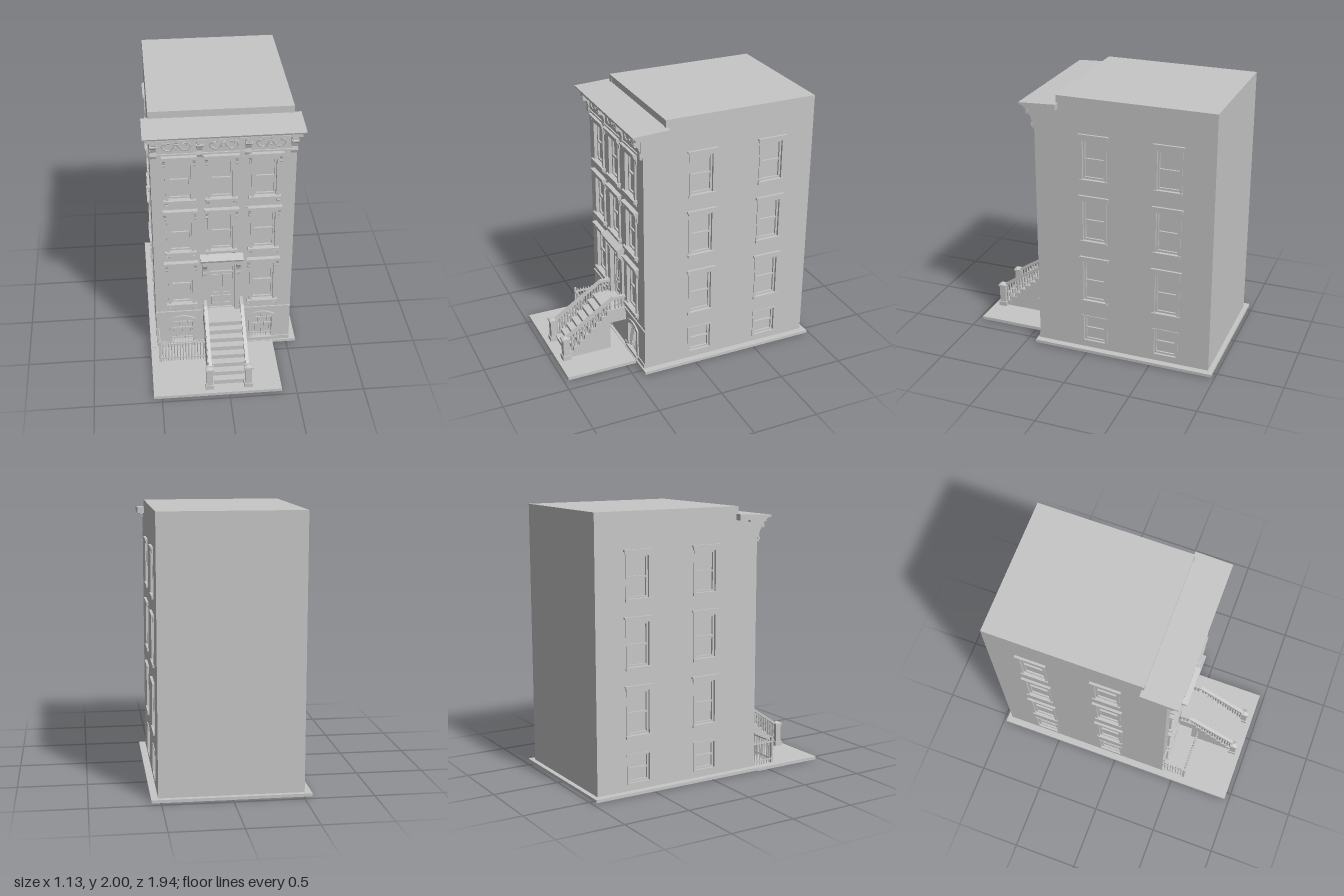
import * as THREE from 'three';

const stone = new THREE.MeshStandardMaterial({ color: 0xc6c6c6 });
stone.name = 'paleGreyStone';

function add(parent, name, geo, x = 0, y = 0, z = 0) {
  const m = new THREE.Mesh(geo, stone);
  m.name = name;
  m.position.set(x, y, z);
  parent.add(m);
  return m;
}
// box given by its limits
function box(parent, name, x0, x1, y0, y1, z0, z1) {
  return add(parent, name, new THREE.BoxGeometry(x1 - x0, y1 - y0, z1 - z0), (x0 + x1) / 2, (y0 + y1) / 2, (z0 + z1) / 2);
}
function group(parent, name, x = 0, y = 0, z = 0, turn = 0) {
  const g = new THREE.Group();
  g.name = name;
  g.position.set(x, y, z);
  g.rotation.y = turn;
  parent.add(g);
  return g;
}
const poly = pts => new THREE.Shape(pts.map(p => new THREE.Vector2(p[0], p[1])));
const rect = (x0, x1, y0, y1) => [[x0, y0], [x1, y0], [x1, y1], [x0, y1]];
function extrude(pts, depth, holes = []) {
  const s = poly(pts);
  holes.forEach(h => s.holes.push(poly(h)));
  return new THREE.ExtrudeGeometry(s, { depth, bevelEnabled: false });
}
// (z, y) profile swept across x, from x0 to x1
function sweep(parent, name, pts, x0, x1, holes) {
  return add(parent, name, extrude(pts, x1 - x0, holes).rotateY(-Math.PI / 2), x1);
}
// opening with a segmental head
function archPts(hw, y0, y1, rise) {
  const p = [[-hw, y0], [hw, y0]];
  for (let i = 0; i <= 8; i++) {
    const t = 1 - i / 4;
    p.push([hw * t, y1 - rise * t * t]);
  }
  return p;
}
const shift = (pts, dx) => pts.map(p => [p[0] + dx, p[1]]);
// scroll bracket against a wall at z = 0, top at y1
function bracket(parent, x, w, y0, y1, d) {
  const h = y1 - y0;
  return sweep(parent, 'bracket', [[0, y1], [0, y0], [d * 0.3, y0], [d * 0.42, y0 + h * 0.15], [d * 0.32, y0 + h * 0.35],
    [d * 0.5, y0 + h * 0.6], [d * 0.85, y0 + h * 0.72], [d, y0 + h * 0.85], [d, y1]], x - w / 2, x + w / 2);
}

// two-light sash, set back in its opening
function sash(parent, hw, y0, y1) {
  const mid = y0 + (y1 - y0) * 0.5, f = 0.014;
  add(parent, 'sashFrame', extrude(rect(-hw, hw, y0, y1), 0.014, [rect(-hw + f, hw - f, y0 + f, mid - f / 2), rect(-hw + f, hw - f, mid + f / 2, y1 - f)]), 0, 0, -0.026);
}
function frontWindow(parent, x, y0, y1) {
  const g = group(parent, 'frontWindow', x, 0, 0.4), hw = 0.08;
  sash(g, hw, y0, y1);
  add(g, 'surround', extrude(rect(-0.1, 0.1, y0, y1 + 0.02), 0.014, [rect(-hw, hw, y0 + 0.002, y1)]));
  box(g, 'lintelFrieze', -0.11, 0.11, y1 + 0.012, y1 + 0.034, 0, 0.02);
  box(g, 'lintelCap', -0.118, 0.118, y1 + 0.034, y1 + 0.046, 0, 0.03);
  box(g, 'lintelTop', -0.126, 0.126, y1 + 0.046, y1 + 0.058, 0, 0.036);
  box(g, 'sill', -0.115, 0.115, y0 - 0.02, y0 + 0.002, -0.02, 0.03);
  for (const s of [-1, 1]) {
    bracket(g, s * 0.106, 0.02, y1 - 0.03, y1 + 0.036, 0.026);
    bracket(g, s * 0.095, 0.022, y0 - 0.048, y0 - 0.02, 0.022);
  }
}
function sideWindow(parent, y0, y1, dressed) {
  const hw = 0.085;
  sash(parent, hw, y0, y1);
  add(parent, 'surround', extrude(rect(-0.1, 0.1, y0 - 0.01, y1 + 0.012), 0.006, [rect(-hw, hw, y0, y1)]));
  if (!dressed) return;
  box(parent, 'lintel', -0.105, 0.105, y1 + 0.012, y1 + 0.032, 0, 0.01);
  box(parent, 'lintelCap', -0.115, 0.115, y1 + 0.032, y1 + 0.045, 0, 0.018);
  box(parent, 'sill', -0.105, 0.105, y0 - 0.02, y0, -0.02, 0.014);
}

export function createModel() {
  const root = new THREE.Group();
  root.name = 'townhouse';
  const X0 = -0.51, X1 = 0.52, Z0 = -0.94, Z1 = 0.4, T = 0.03, base = 0.028;

  // ground slabs
  box(root, 'houseSlab', -0.56, 0.57, 0.006, base, -0.975, 0.42);
  box(root, 'yardSlab', -0.56, 0.39, 0, base - 0.004, 0.4, 0.965);

  // walls with openings around an inner core
  const cols = [-0.31, -0.01, 0.3];
  const rows = [[1.38, 1.685], [0.925, 1.235], [0.44, 0.775]];
  const frontWins = [];
  rows.forEach(([a, b], r) => cols.forEach((c, i) => { if (r < 2 || i !== 1) frontWins.push([c, a, b]); }));
  const doorHole = shift(archPts(0.1, 0.36, 0.79, 0.025), -0.01);
  const cellarHole = archPts(0.08, 0.065, 0.29, 0.025);
  const holes = frontWins.map(([c, a, b]) => rect(c - 0.08, c + 0.08, a, b));
  holes.push(doorHole, shift(cellarHole, -0.31), shift(cellarHole, 0.3));
  const house = group(root, 'house');
  const core = (z0, z1, top) => box(house, 'innerCore', X0 + T, X1 - T, base, top, z0, z1);
  core(Z0 + 0.01, 0.225, 1.995);
  core(0.225, Z1 - T, 1.9);
  add(house, 'frontWall', extrude(rect(X0 + T, X1 - T, base, 1.92), T, holes), 0, 0, Z1 - T);
  box(house, 'backWall', X0 + T, X1 - T, base, 2, Z0, Z0 + T);
  box(house, 'roof', X0 + T, X1 - T, 1.98, 2, Z0 + T, 0.23);

  const sideCols = [-0.05, -0.605];
  const sideRows = [[1.4, 1.695], [0.92, 1.23], [0.43, 0.745], [0.085, 0.285]];
  const sideHoles = sideCols.flatMap(c => sideRows.map(([a, b]) => rect(c - 0.085, c + 0.085, a, b)));
  const sidePts = [[Z0, base], [Z1, base], [Z1, 1.92], [0.23, 1.92], [0.23, 2], [Z0, 2]];
  sweep(house, 'rightWall', sidePts, X0, X0 + T, sideHoles);
  sweep(house, 'leftWall', sidePts, X1 - T, X1, sideHoles);
  for (const [x, turn] of [[X0, -Math.PI / 2], [X1, Math.PI / 2]])
    for (const z of sideCols)
      sideRows.forEach(([a, b], i) => sideWindow(group(house, 'sideWindow', x, 0, z, turn), a, b, i < 3));

  // front windows
  frontWins.forEach(w => frontWindow(house, ...w));

  // basement windows with iron grilles
  for (const x of [-0.31, 0.3]) {
    const g = group(house, 'basementWindow', x, 0, Z1);
    add(g, 'surround', extrude(archPts(0.1, base, 0.315, 0.03), 0.012, [cellarHole]));
    box(g, 'sill', -0.1, 0.1, 0.045, 0.065, -0.02, 0.022);
    box(g, 'sashRail', -0.08, 0.08, 0.17, 0.182, -0.028, -0.014);
    for (let i = -3; i <= 3; i++) box(g, 'grilleBar', i * 0.022 - 0.003, i * 0.022 + 0.003, 0.065, 0.288 - 0.0022 * i * i, -0.01, -0.003);
    for (const y of [0.095, 0.245]) box(g, 'grilleRail', -0.08, 0.08, y, y + 0.006, -0.012, -0.002);
  }

  // plinth and belt course
  for (const [a, b] of [[X0, -0.14], [0.14, X1]]) {
    box(house, 'plinth', a, b, base, 0.06, Z1, Z1 + 0.008);
    box(house, 'beltCourse', a, b, 0.35, 0.362, Z1, Z1 + 0.01);
  }

  // entrance
  const door = group(root, 'entrance', -0.01, 0, Z1);
  add(door, 'doorFrame', extrude(archPts(0.1, 0.36, 0.79, 0.025), 0.012, [archPts(0.084, 0.365, 0.69, 0), archPts(0.084, 0.705, 0.774, 0.025)]), 0, 0, -0.028);
  for (const s of [-1, 1]) {
    for (const [a, b] of [[0.39, 0.47], [0.49, 0.67]])
      add(door, 'doorPanel', extrude(rect(-0.033, 0.033, a, b), 0.008, [rect(-0.022, 0.022, a + 0.012, b - 0.012)]), s * 0.042, 0, -0.03);
    box(door, 'pilaster', s * 0.12 - 0.02, s * 0.12 + 0.02, 0.36, 0.8, 0, 0.018);
    bracket(door, s * 0.124, 0.032, 0.69, 0.825, 0.05);
  }
  box(door, 'doorMeetingRail', -0.005, 0.005, 0.36, 0.69, -0.03, -0.017);
  box(door, 'hoodFrieze', -0.14, 0.14, 0.79, 0.835, 0, 0.028);
  box(door, 'hoodMoulding', -0.15, 0.15, 0.825, 0.845, 0, 0.054);
  sweep(door, 'hoodTop', [[0, 0.845], [0.06, 0.845], [0.066, 0.862], [0, 0.882]], -0.16, 0.16);

  // cornice
  const cornice = group(root, 'cornice', 0, 0, Z1);
  sweep(cornice, 'crown', [[-0.185, 1.9], [0.05, 1.9], [0.06, 1.91], [0.09, 1.918], [0.095, 1.932], [-0.185, 1.945]], -0.56, 0.57);
  box(cornice, 'bedMoulding', -0.535, 0.545, 1.882, 1.9, -0.08, 0.065);
  box(cornice, 'frieze', X0, X1, 1.765, 1.885, 0, 0.014);
  box(cornice, 'architrave', X0 - 0.004, X1 + 0.004, 1.755, 1.768, 0, 0.024);
  const big = [-0.485, -0.165, 0.175, 0.495];
  big.forEach(x => {
    bracket(cornice, x, 0.042, 1.735, 1.885, 0.066);
    add(cornice, 'bracketScroll', new THREE.CylinderGeometry(0.014, 0.014, 0.05, 10).rotateZ(Math.PI / 2), x, 1.85, 0.054);
  });
  for (let b = 0; b < 3; b++) {
    const c = (big[b] + big[b + 1]) / 2;
    for (const s of [-1, 1]) {
      // leafy scrolls beside a central rosette
      const curve = new THREE.CatmullRomCurve3([[0.02, 1.825], [0.045, 1.795], [0.08, 1.8], [0.1, 1.83], [0.08, 1.85], [0.065, 1.832]].map(p => new THREE.Vector3(c + s * p[0], p[1], 0.016)));
      add(cornice, 'friezeScroll', new THREE.TubeGeometry(curve, 18, 0.006, 5));
      bracket(cornice, c + s * 0.055, 0.02, 1.845, 1.885, 0.05);
    }
    add(cornice, 'rosette', new THREE.TorusGeometry(0.017, 0.006, 5, 12), c, 1.825, 0.016);
    bracket(cornice, c, 0.02, 1.85, 1.885, 0.05);
  }

  // stoop with a passage under its landing
  const stoop = group(root, 'stoop');
  const N = 8, zTop = 0.51, run = 0.365 / N, rise = (0.36 - base) / N;
  const stepPts = [[Z1, 0.25], [0.53, 0.25], [0.53, base], [zTop + N * run, base]];
  for (let i = 0; i < N; i++) {
    const z = zTop + (N - i) * run, y = base + (i + 1) * rise;
    stepPts.push([z, y], [z - run, y]);
    box(stoop, 'treadNosing', -0.135, 0.135, y - 0.01, y + 0.001, z - run, z + 0.008);
  }
  stepPts.push([Z1, 0.36]);
  sweep(stoop, 'steps', stepPts, -0.15, 0.15);

  // balustrades
  const baluster = new THREE.LatheGeometry([[0.006, 0], [0.006, 0.12], [0.011, 0.3], [0.005, 0.5], [0.01, 0.75], [0.006, 0.9], [0.006, 1]].map(p => new THREE.Vector2(p[0], p[1])), 6);
  for (const s of [-1, 1]) {
    const x = s * 0.137;
    for (let i = 0; i < 2 * N; i++) {
      const z = zTop + (i + 0.5) * run / 2, y = 0.36 - Math.floor(i / 2) * rise;
      const top = 0.45 - (z - 0.5) * 0.66;
      add(stoop, 'baluster', baluster, x, y, z).scale.y = top - y;
    }
    for (const z of [0.425, 0.452, 0.48]) add(stoop, 'baluster', baluster, x, 0.36, z).scale.y = 0.09;
    sweep(stoop, 'handrail', [[Z1, 0.445], [0.5, 0.445], [0.88, 0.194], [0.88, 0.216], [0.5, 0.467], [Z1, 0.467]], x - 0.013, x + 0.013);
    // newel post
    const n = group(stoop, 'newelPost', s * 0.145, 0, 0.895);
    box(n, 'foot', -0.032, 0.032, 0.02, 0.06, -0.032, 0.032);
    box(n, 'shaft', -0.024, 0.024, 0.06, 0.195, -0.024, 0.024);
    box(n, 'cap', -0.031, 0.031, 0.195, 0.21, -0.031, 0.031);
    add(n, 'capPoint', new THREE.ConeGeometry(0.036, 0.016, 4).rotateY(Math.PI / 4), 0, 0.218, 0);
  }

  // area fence on the right of the stoop
  const fence = group(root, 'areaFence');
  for (const y of [0.05, 0.185]) {
    box(fence, 'fenceRail', -0.5, -0.15, y, y + 0.01, 0.575, 0.587);
    box(fence, 'fenceRail', -0.5, -0.488, y, y + 0.01, Z1, 0.587);
  }
  const picket = new THREE.CylinderGeometry(0.004, 0.004, 0.18, 5);
  const tip = new THREE.ConeGeometry(0.008, 0.02, 5);
  const pickets = [];
  for (let i = 1; i < 16; i++) pickets.push([-0.494 + i * 0.022, 0.581]);
  for (let i = 0; i < 7; i++) pickets.push([-0.494, 0.42 + i * 0.023]);
  for (const [x, z] of pickets) {
    add(fence, 'picket', picket, x, 0.112, z);
    add(fence, 'picketTip', tip, x, 0.21, z);
  }
  box(fence, 'cornerPost', -0.503, -0.485, base - 0.006, 0.225, 0.572, 0.59);
  return root;
}
